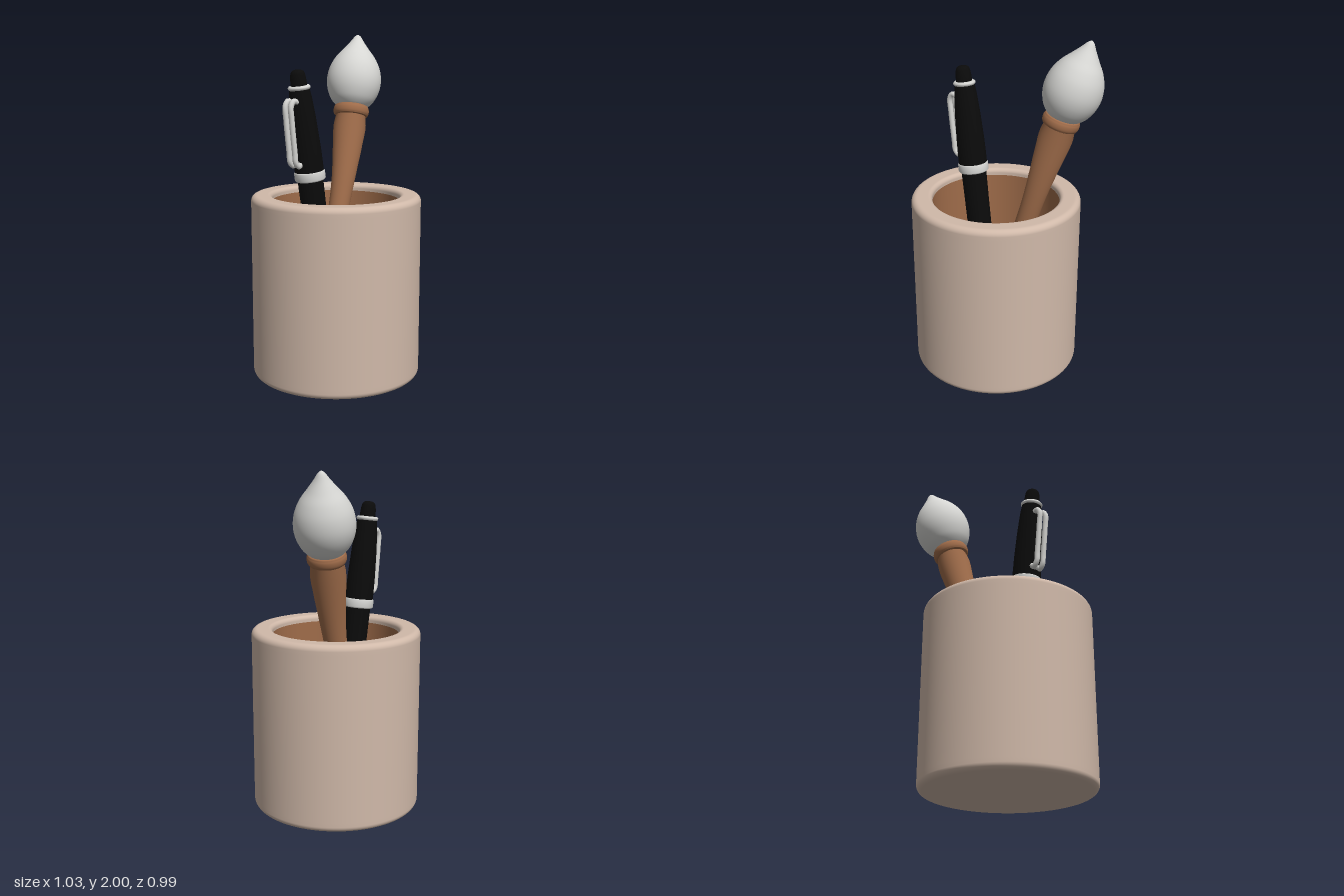
import * as THREE from 'three';

const mat = (name, color) => {
  const m = new THREE.MeshStandardMaterial({ color });
  m.name = name;
  return m;
};
const V = (x, y, z) => new THREE.Vector3(x, y, z);

export function createModel() {
  const clay = mat('beige clay', 0xd0b9a9);
  const brown = mat('warm brown', 0x9f6c4a);
  const black = mat('black', 0x0b0b0b);
  const silver = mat('pale grey', 0xd6d6d3);

  const add = (parent, name, geometry, material) => {
    const m = new THREE.Mesh(geometry, material);
    m.name = name;
    parent.add(m);
    return m;
  };
  const lathe = (pts, seg = 48) =>
    new THREE.LatheGeometry(pts.map(([r, y]) => new THREE.Vector2(r, y)), seg);
  // Smooth a profile through a few points
  const smooth = (pts, n = 36) =>
    new THREE.SplineCurve(pts.map(([r, y]) => new THREE.Vector2(r, y)))
      .getPoints(n).map(p => [Math.max(p.x, 0), p.y]);
  // Group whose local y axis runs from one point toward another
  const axisGroup = (parent, name, from, to) => {
    const g = new THREE.Group();
    g.name = name;
    g.position.copy(from);
    g.quaternion.setFromUnitVectors(V(0, 1, 0), to.clone().sub(from).normalize());
    parent.add(g);
    return g;
  };
  // Quarter-round corner points
  const corner = (cx, cy, r, a0, a1) => Array.from({ length: 9 }, (_, i) => {
    const a = a0 + (a1 - a0) * i / 8;
    return [cx + r * Math.cos(a), cy + r * Math.sin(a)];
  });

  const model = new THREE.Group();
  model.name = 'penHolder';

  // Cup: outer shell and rim, then the brown lining
  const cup = new THREE.Group();
  cup.name = 'cup';
  cup.position.x = -0.027;
  model.add(cup);
  const R = 0.495, H = 1.08, IN = 0.373, FLOOR = 0.13, h = Math.PI / 2;
  add(cup, 'cupShell', lathe([
    [0, 0], [R - 0.05, 0],
    ...corner(R - 0.035, 0.035, 0.035, -h, 0),
    [R, 0.06], [R, H - 0.06],
    ...corner(R - 0.035, H - 0.035, 0.035, 0, h),
    [R - 0.05, H], [IN + 0.04, H],
    ...corner(IN + 0.025, H - 0.025, 0.025, h, 2 * h),
    [IN, H - 0.04],
  ], 96), clay);
  add(cup, 'cupLining', lathe([
    [IN, H - 0.04], [IN, H - 0.08], [IN, FLOOR + 0.05],
    ...corner(IN - 0.03, FLOOR + 0.03, 0.03, 0, -h),
    [IN - 0.05, FLOOR], [0, FLOOR],
  ], 96), brown);

  // Brush handle: a tube whose rings are scaled to a flaring radius
  const brush = new THREE.Group();
  brush.name = 'brush';
  model.add(brush);
  const path = new THREE.CatmullRomCurve3([
    V(-0.115, 0.11, -0.135), V(0.005, 0.55, -0.12), V(0.158, 1.08, -0.14), V(0.282, 1.515, -0.187),
  ]);
  const radius = new THREE.SplineCurve([
    [0, 0.085], [0.3, 0.072], [0.55, 0.063], [0.7, 0.068], [0.86, 0.088], [0.95, 0.099], [1, 0.088],
  ].map(([t, r]) => new THREE.Vector2(t, r))).getPoints(120);
  const N = 48, S = 32;
  const handle = new THREE.TubeGeometry(path, N, 1, S);
  const pos = handle.attributes.position, p = V(0, 0, 0);
  for (let i = 0; i <= N; i++) {
    const t = i / N, c = path.getPointAt(t);
    const r = radius.find(q => q.x >= t - 1e-6).y;
    for (let j = 0; j <= S; j++) {
      const k = i * (S + 1) + j;
      p.fromBufferAttribute(pos, k).sub(c).multiplyScalar(r).add(c);
      pos.setXYZ(k, p.x, p.y, p.z);
    }
  }
  add(brush, 'brushHandle', handle, brown);

  // Brush collar and teardrop bristles share one axis
  const head = axisGroup(brush, 'brushHead', V(0.277, 1.505, -0.185), V(0.42, 2.0, -0.265));
  add(head, 'brushCollar', lathe(smooth([
    [0, 0], [0.088, 0.002], [0.104, 0.01], [0.109, 0.03], [0.105, 0.052], [0.088, 0.066], [0, 0.068],
  ])), brown);
  add(head, 'bristles', lathe(smooth([
    [0.07, 0.05], [0.1, 0.068], [0.133, 0.105], [0.159, 0.165], [0.167, 0.23], [0.155, 0.3],
    [0.124, 0.365], [0.082, 0.42], [0.045, 0.469], [0.019, 0.507], [0, 0.521],
  ], 60), 64), silver);

  // Pen, built along its own axis from tip to cap end
  const pen = new THREE.Group();
  pen.name = 'pen';
  model.add(pen);
  const shaft = axisGroup(pen, 'penShaft', V(-0.067, 0.13, 0), V(-0.288, 1.8, -0.04));
  add(shaft, 'penBarrel', lathe([
    [0, 0], [0.03, 0.005], [0.05, 0.07], [0.064, 0.16], [0.069, 0.3], [0.072, 0.9], [0.074, 1.08],
  ]), black);
  add(shaft, 'penCap', lathe([
    [0.083, 1.09], [0.083, 1.15], [0.081, 1.25], [0.074, 1.4], [0.065, 1.52], [0.056, 1.585],
  ]), black);
  add(shaft, 'penCapEnd', lathe(smooth([
    [0.046, 1.575], [0.046, 1.61], [0.043, 1.645], [0.037, 1.67], [0.022, 1.682], [0, 1.685],
  ])), black);
  // Rounded silver bands
  const band = (name, y, r, height) => add(shaft, name, lathe([
    [r - 0.025, y], [r - 0.007, y], [r, y + 0.008], [r, y + height - 0.008],
    [r - 0.007, y + height], [r - 0.025, y + height],
  ]), silver);
  band('penMiddleBand', 1.055, 0.089, 0.055);
  band('penUpperBand', 1.572, 0.064, 0.024);

  // Clip: two parallel wires joined at the foot
  const clip = new THREE.Group();
  clip.name = 'penClip';
  pen.add(clip);
  for (const z of [-0.058, -0.01]) {
    const wire = new THREE.CatmullRomCurve3([
      V(-0.31, 1.62, z), V(-0.34, 1.628, z), V(-0.36, 1.6, z), V(-0.355, 1.52, z),
      V(-0.335, 1.34, z), V(-0.328, 1.285, z), V(-0.305, 1.262, z), V(-0.285, 1.27, z),
    ]);
    add(clip, 'clipWire', new THREE.TubeGeometry(wire, 40, 0.016, 12), silver);
  }
  const foot = add(clip, 'clipFoot', new THREE.CapsuleGeometry(0.018, 0.048, 6, 12), silver);
  foot.rotation.x = Math.PI / 2;
  foot.position.set(-0.296, 1.268, -0.034);

  return model;
}
